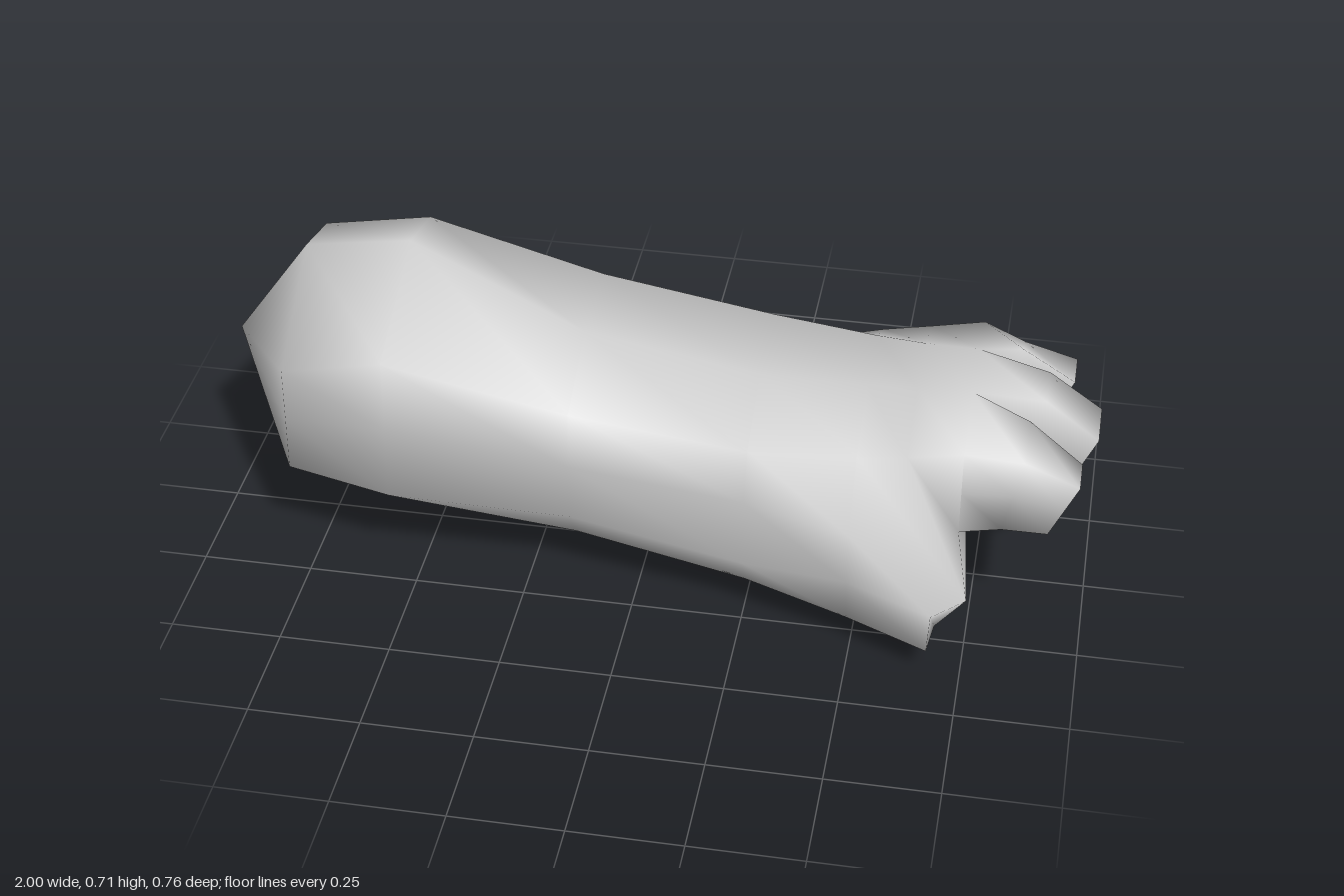
import * as THREE from 'three';
import { mergeGeometries, mergeVertices } from 'three/addons/utils/BufferGeometryUtils.js';

// Skin a row of rings ([x,y,z] points); optional points close the two ends.
function loft(rings, startTip, endTip) {
  const n = rings[0].length;
  const pos = rings.flat(2);
  const index = [];
  for (let i = 0; i < rings.length - 1; i++) {
    for (let j = 0; j < n; j++) {
      const a = i * n + j, b = i * n + (j + 1) % n;
      index.push(a, a + n, b, b, a + n, b + n);
    }
  }
  const cap = (tip, base, flip) => {
    const c = pos.length / 3;
    pos.push(...tip);
    for (let j = 0; j < n; j++) {
      const a = base + j, b = base + (j + 1) % n;
      index.push(c, flip ? b : a, flip ? a : b);
    }
  };
  if (startTip) cap(startTip, 0, false);
  if (endTip) cap(endTip, (rings.length - 1) * n, true);
  const g = new THREE.BufferGeometry();
  g.setAttribute('position', new THREE.Float32BufferAttribute(pos, 3));
  g.setIndex(index);
  return g;
}

// Forearm: x, then [z, y] points from top front over the back, under and up the front
const armRings = [
  [-0.8, [[.19, .5], [-.06, .68], [-.22, .64], [-.35, .4], [-.3, .17],
    [-.06, .075], [.03, .135], [.11, .185], [.19, .24], [.19, .37]]],
  [-0.56, [[.23, .575], [-.07, .71], [-.25, .665], [-.385, .395], [-.365, .16],
    [-.14, 0], [0, .08], [.12, .15], [.23, .22], [.23, .4]]],
  [-0.15, [[.2, .47], [0, .56], [-.22, .575], [-.36, .4], [-.33, .16],
    [-.08, .07], [.05, .08], [.13, .1], [.21, .2], [.215, .34]]],
  [0.25, [[.21, .43], [.04, .52], [-.19, .53], [-.305, .38], [-.29, .13],
    [-.04, .04], [.1, .055], [.21, .08], [.27, .17], [.25, .32]]],
  [0.49, [[.23, .46], [.06, .535], [-.13, .54], [-.295, .45], [-.28, .11],
    [-.04, .04], [.13, .055], [.3, .075], [.335, .2], [.33, .32]]],
];

// Palm ring whose front corner is pulled out into the thumb tip (last four points)
const palm = [[.6, .48, .24], [.6, .545, .07], [.6, .545, -.11], [.6, .475, -.29],
  [.58, .18, -.285], [.56, .1, -.06]];
const [tipLowIn, tipLowOut, tipHighOut, tipHighIn] =
  [[.685, .078, .3], [.675, .07, .38], [.68, .165, .38], [.75, .165, .31]];

// Knuckle line: z and top height at each finger boundary, front to back
const knuckles = [[.25, .51], [.07, .55], [-.1, .55], [-.29, .5]];
const knuckleX = 0.72, knuckleBottom = 0.305;
const low = (i) => [knuckleX, knuckleBottom, knuckles[i][0]];

function armGeometry() {
  return loft([
    ...armRings.map(([x, ring]) => ring.map(([z, y]) => [x, y, z])),
    [...palm, tipLowIn, tipLowOut, tipHighOut, tipHighIn],
    // closes the thumb's end face
    [...palm, tipLowIn, tipLowIn, tipHighIn, tipHighIn],
    [...knuckles.map(([z, y]) => [knuckleX, y, z]),
      low(3), low(2), low(1), low(1), low(0), low(0)],
  ], [-1, .385, -.14]);
}

// Finger i grows from its stretch of the knuckle line to a sloping tip
function fingerGeometry(i, tipX, tipFront, tipBack) {
  const [zFront, yFront] = knuckles[i], [zBack, yBack] = knuckles[i + 1];
  const section = (t, xTop, xLow, yF, yB, yLow) => {
    const f = THREE.MathUtils.lerp(zFront, tipFront, t);
    const b = THREE.MathUtils.lerp(zBack, tipBack, t);
    const x = (xTop + xLow) / 2;
    return [
      [xTop, yF, f], [xTop, yB, b], [x, (yB + yLow) / 2, b],
      [xLow, yLow, b], [xLow, yLow, f], [x, (yF + yLow) / 2, f],
    ];
  };
  const mid = tipX - 0.12;
  return loft([
    section(0, knuckleX, knuckleX, yFront, yBack, knuckleBottom),
    section(.55, mid, mid - .04, yFront - .025, yBack - .045, .305),
    section(1, tipX, tipX - .06, .42, .42, .29),
  ], null, [tipX - .03, .355, (tipFront + tipBack) / 2]);
}

export function createModel() {
  const group = new THREE.Group();
  group.name = 'forearmAndHand';

  // Weld arm, thumb and fingers into one smooth skin
  const skin = mergeVertices(mergeGeometries([
    armGeometry(),
    fingerGeometry(0, .97, .205, .115),
    fingerGeometry(1, 1, .02, -.105),
    fingerGeometry(2, .935, -.2, -.295),
  ]), 1e-3);
  skin.computeVertexNormals();

  const mesh = new THREE.Mesh(skin, new THREE.MeshStandardMaterial({ color: 0xcccccc }));
  mesh.name = 'armWithThumbAndFingers';
  group.add(mesh);
  return group;
}
